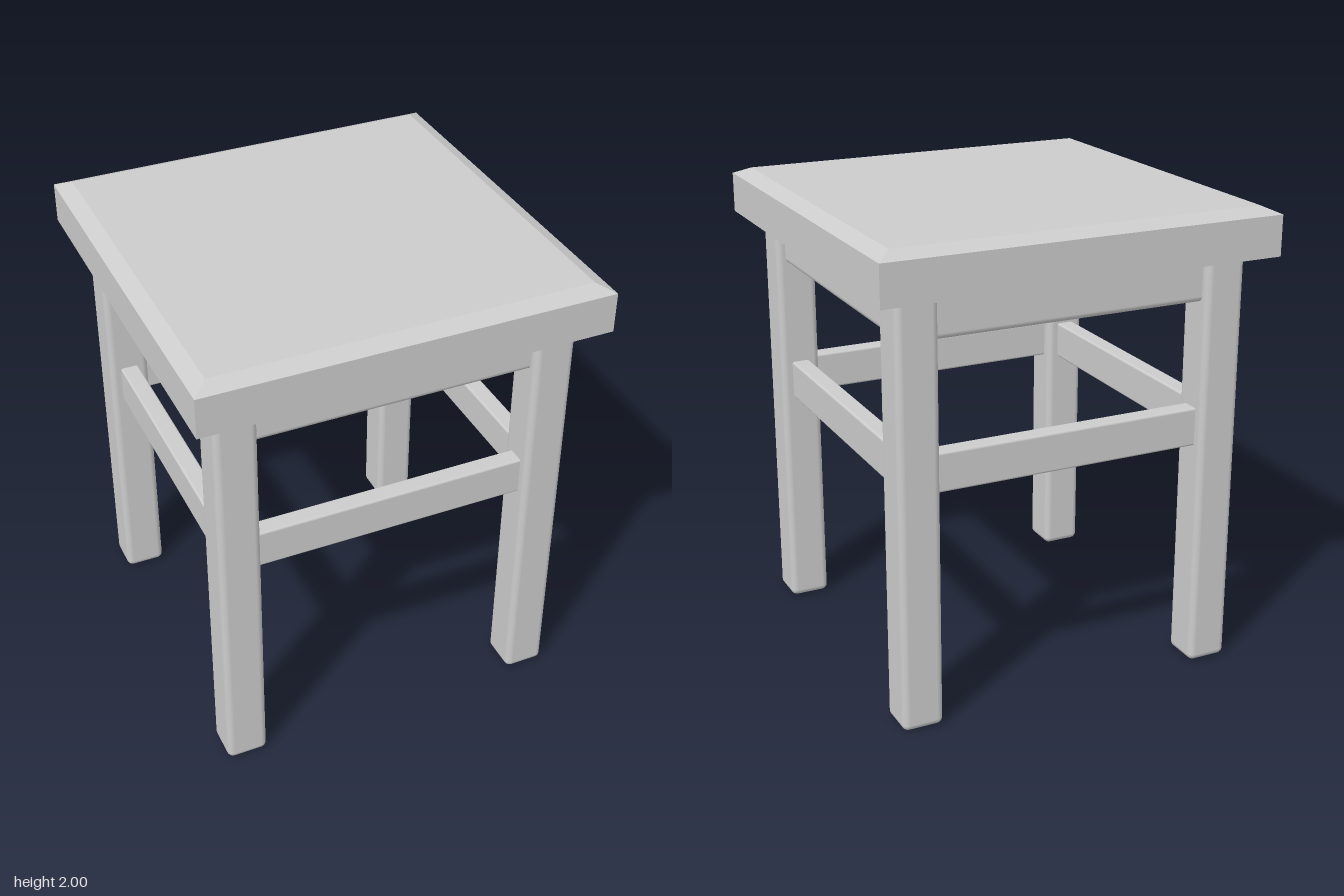
import * as THREE from 'three';
import { RoundedBoxGeometry } from 'three/addons/geometries/RoundedBoxGeometry.js';

const material = new THREE.MeshStandardMaterial({ color: 0xcccccc });
const flatMaterial = new THREE.MeshStandardMaterial({ color: 0xcccccc, flatShading: true });

const LEG = 0.67; // leg centre line, also the centre line of the rails
const LEG_WIDTH = 0.175;
const SEAT_BOTTOM = 1.8;

function addMesh(parent, name, geometry, mat = material) {
  const mesh = new THREE.Mesh(geometry, mat);
  mesh.name = name;
  parent.add(mesh);
  return mesh;
}

// Four-sided solid of revolution: a square slab with a chamfered top edge
function seatGeometry() {
  const profile = [[0, SEAT_BOTTOM], [0.855, SEAT_BOTTOM], [0.855, 1.97], [0.79, 2], [0, 2]]
    .map(([half, y]) => new THREE.Vector2(half * Math.SQRT2, y));
  const geometry = new THREE.LatheGeometry(profile, 4, Math.PI / 4).toNonIndexed();
  geometry.computeVertexNormals();
  return geometry;
}

// Horizontal board between two legs, its ends let into them
function railGeometry(bottom, top, thickness, radius) {
  const length = 2 * LEG - LEG_WIDTH + 0.06;
  return new RoundedBoxGeometry(length, top - bottom, thickness, 4, radius)
    .translate(0, (top + bottom) / 2, LEG);
}

export function createModel() {
  const stool = new THREE.Group();
  stool.name = 'stool';

  addMesh(stool, 'seat', seatGeometry(), flatMaterial);

  // Legs with softened edges and feet
  const legGeometry = new RoundedBoxGeometry(LEG_WIDTH, SEAT_BOTTOM, LEG_WIDTH, 4, 0.028)
    .translate(0, SEAT_BOTTOM / 2, 0);
  for (const [zName, z] of [['front', 1], ['back', -1]]) {
    for (const [xName, x] of [['Left', 1], ['Right', -1]]) {
      addMesh(stool, `${zName}${xName}Leg`, legGeometry).position.set(x * LEG, 0, z * LEG);
    }
  }

  // An apron under the seat and a stretcher lower down, on each side
  const apron = railGeometry(1.61, SEAT_BOTTOM, 0.1, 0.025);
  const stretcher = railGeometry(0.99, 1.155, 0.08, 0.01);
  ['front', 'left', 'back', 'right'].forEach((side, i) => {
    addMesh(stool, `${side}Apron`, apron).rotation.y = i * Math.PI / 2;
    addMesh(stool, `${side}Stretcher`, stretcher).rotation.y = i * Math.PI / 2;
  });

  return stool;
}
